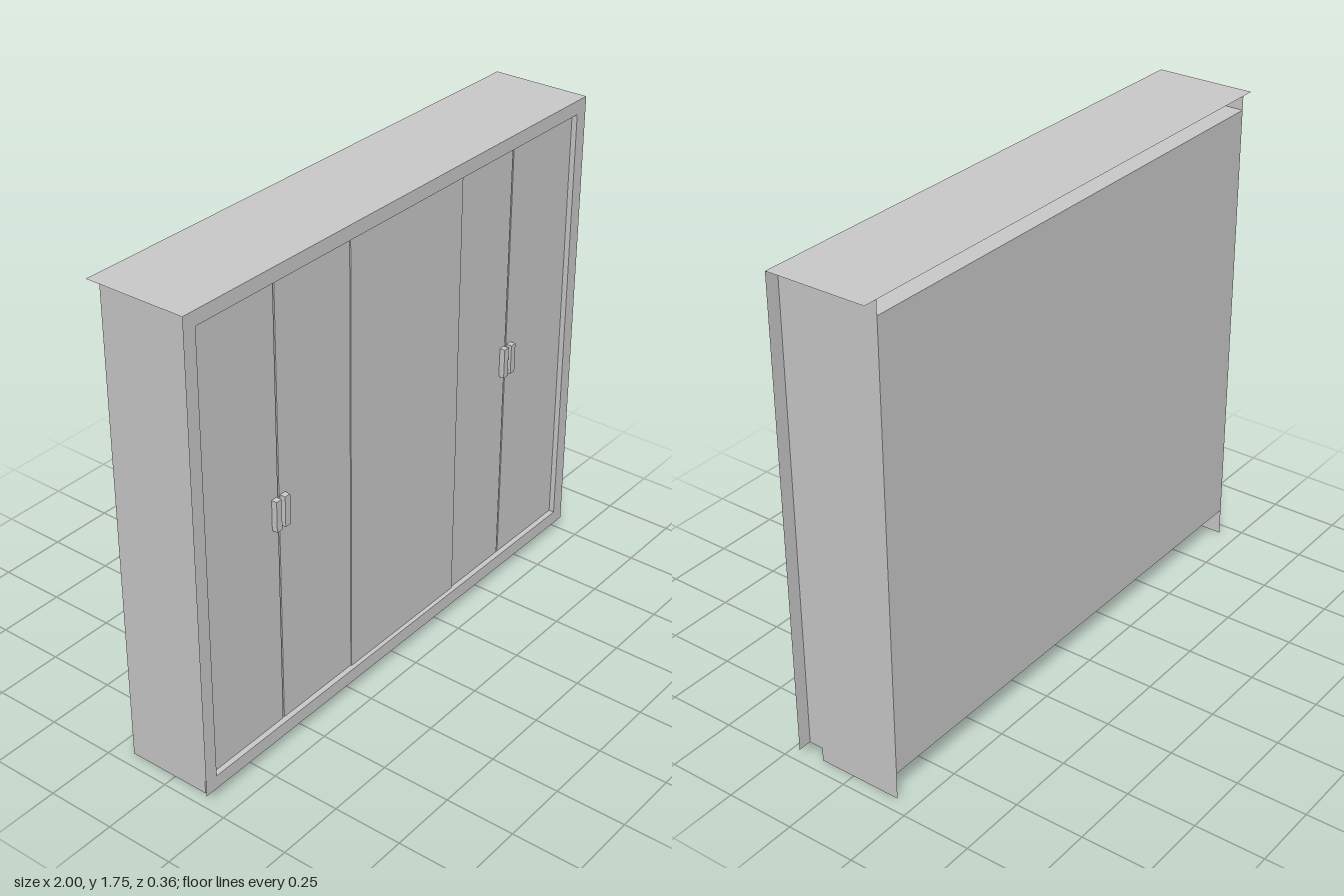
import * as THREE from 'three';

const W = 1, H = 1.75, D = 0.182;      // half width, height, half depth
const IN = 0.95, FLOOR = 0.1, CEIL = 1.7; // inner carcass
const KICK_Z = 0.13, KICK_Y = 0.05;    // toe recess
const DOOR_Z = 0.162;                  // front face of doors

export function createModel() {
  const group = new THREE.Group();
  const mat = new THREE.MeshStandardMaterial({ color: 0xcccccc, side: THREE.DoubleSide });

  const add = (name, geo) => {
    const mesh = new THREE.Mesh(geo, mat);
    mesh.name = name;
    group.add(mesh);
    return mesh;
  };
  // Thin upright sheet facing the front
  const upright = (name, x0, x1, y0, y1, z) =>
    add(name, new THREE.PlaneGeometry(x1 - x0, y1 - y0).translate((x0 + x1) / 2, (y0 + y1) / 2, z));
  // Thin level sheet facing up
  const level = (name, hw, y, z0, z1) =>
    add(name, new THREE.PlaneGeometry(2 * hw, z1 - z0).rotateX(-Math.PI / 2).translate(0, y, (z0 + z1) / 2));
  const box = (name, x0, x1, y0, y1, z0, z1) =>
    add(name, new THREE.BoxGeometry(x1 - x0, y1 - y0, z1 - z0)
      .translate((x0 + x1) / 2, (y0 + y1) / 2, (z0 + z1) / 2));

  // Front frame with one large opening
  const rect = (C, x, y0, y1) => {
    const s = new C();
    s.moveTo(-x, y0); s.lineTo(x, y0); s.lineTo(x, y1); s.lineTo(-x, y1); s.closePath();
    return s;
  };
  const frame = rect(THREE.Shape, W, KICK_Y, H);
  frame.holes.push(rect(THREE.Path, IN, FLOOR, CEIL));
  add('frontFrame', new THREE.ShapeGeometry(frame).translate(0, 0, D));

  // Sides, notched at the toe recess (shape x runs towards the back)
  const side = new THREE.Shape([
    [-D, KICK_Y], [-KICK_Z, KICK_Y], [-KICK_Z, 0], [D, 0], [D, H], [-D, H],
  ].map(([x, y]) => new THREE.Vector2(x, y)));
  for (const s of [-1, 1]) {
    add(s > 0 ? 'leftSide' : 'rightSide',
      new THREE.ShapeGeometry(side).rotateY(Math.PI / 2).translate(s * IN, 0, 0));
  }

  // Carcass sheets; the top overhangs the body
  level('top', W, H, -D, D);
  level('ceiling', IN, CEIL, -D, D);
  level('floor', IN, FLOOR, -D, D);
  level('toeSoffit', IN, KICK_Y, KICK_Z, D);
  upright('toeKick', -IN, IN, 0, KICK_Y, KICK_Z);
  upright('back', -IN, IN, FLOOR, CEIL, -D).geometry.scale(1, 1, 1);

  // Recessed centre panel
  box('centrePanel', -0.25, 0.32, FLOOR, CEIL, DOOR_Z - 0.02, DOOR_Z + 0.004);

  // Two pairs of doors, each with a handle beside the meeting edge
  const pairs = [[-IN, -0.6, -0.25], [0.32, 0.605, IN]];
  for (const [x0, mid, x1] of pairs) {
    box('door', x0, mid - 0.003, FLOOR, CEIL, DOOR_Z - 0.02, DOOR_Z);
    box('door', mid + 0.003, x1, FLOOR, CEIL, DOOR_Z - 0.02, DOOR_Z);
    for (const s of [-1, 1]) {
      const c = mid + s * 0.02;
      box('handle', c - 0.012, c + 0.012, 0.85, 0.96, DOOR_Z, D);
    }
  }
  return group;
}
